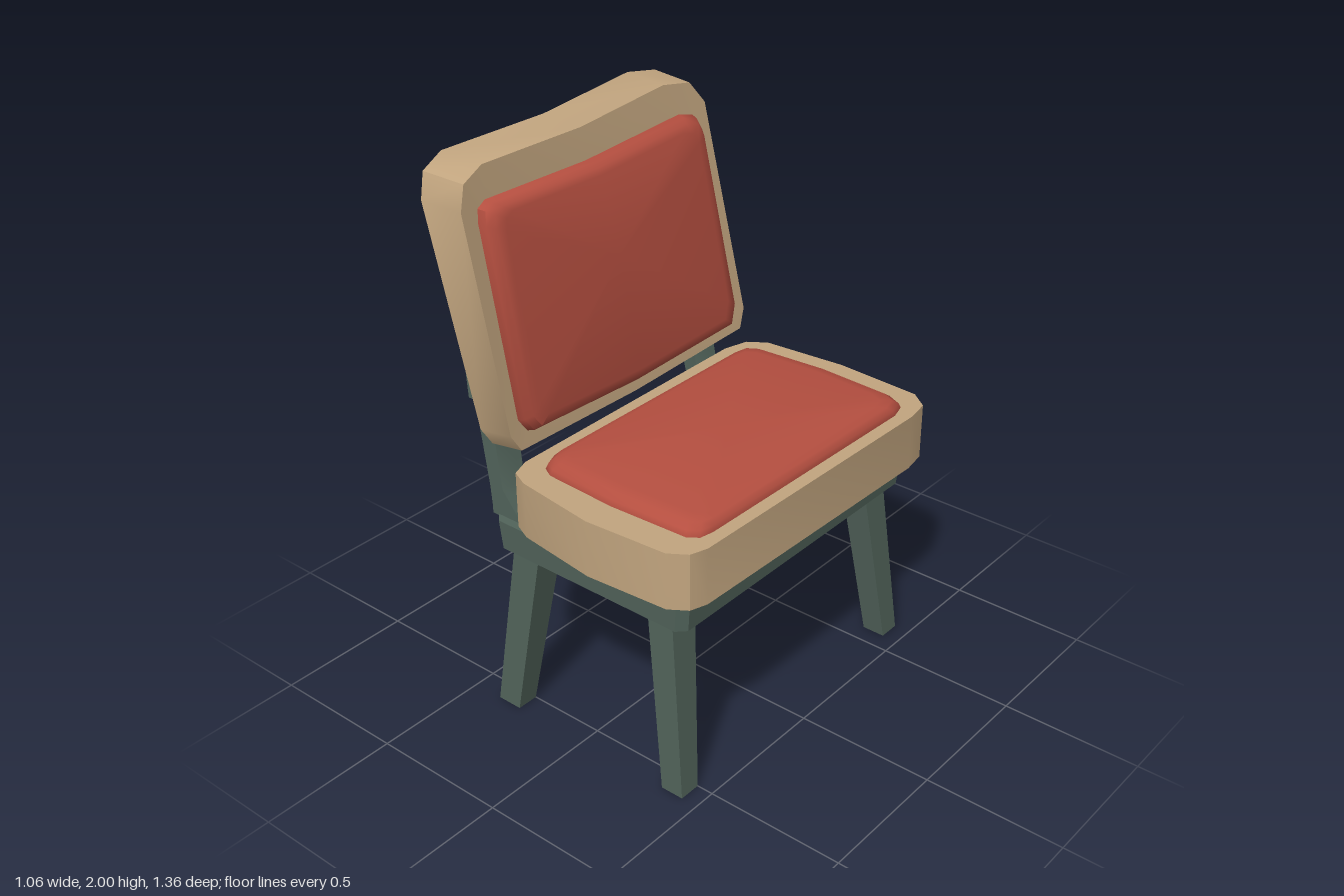
import * as THREE from 'three';
import { toCreasedNormals } from 'three/addons/utils/BufferGeometryUtils.js';

const V = (x, y, z) => new THREE.Vector3(x, y, z);

// Joins cross-sections of equal point count; either capped at both ends or closed into a ring.
function loft(sections, { ring = false, crease = 0.6 } = {}) {
  const tris = [];
  const n = sections[0].length;
  const count = ring ? sections.length : sections.length - 1;
  for (let s = 0; s < count; s++) {
    const a = sections[s], b = sections[(s + 1) % sections.length];
    for (let i = 0; i < n; i++) {
      const j = (i + 1) % n;
      tris.push([a[i], a[j], b[j]], [a[i], b[j], b[i]]);
    }
  }
  if (!ring) {
    const first = sections[0], last = sections[sections.length - 1];
    const c0 = centre(first), c1 = centre(last);
    for (let i = 0; i < n; i++) {
      const j = (i + 1) % n;
      tris.push([c0, first[j], first[i]], [c1, last[i], last[j]]);
    }
  }
  // Turn the faces outward if the outline ran the other way
  const volume = tris.reduce((v, [a, b, c]) => v + a.dot(b.clone().cross(c)), 0);
  const points = tris.flatMap(([a, b, c]) => (volume < 0 ? [a, c, b] : [a, b, c]));
  const geometry = new THREE.BufferGeometry().setFromPoints(points);
  return toCreasedNormals(geometry, crease);
}

function centre(points) {
  return points.reduce((sum, p) => sum.add(p), V(0, 0, 0)).divideScalar(points.length);
}

// Scales a 2D outline about its middle
function scaled(outline, k) {
  const mx = outline.reduce((s, p) => s + p[0], 0) / outline.length;
  const my = outline.reduce((s, p) => s + p[1], 0) / outline.length;
  return outline.map(([x, y]) => [mx + (x - mx) * k, my + (y - my) * k]);
}

// Level rectangle: x range, z range, height
const rect = (x0, x1, z0, z1, y) => [V(x0, y, z0), V(x1, y, z0), V(x1, y, z1), V(x0, y, z1)];

// Level rectangle with clipped corners
function clipped(x0, x1, z, y, c) {
  return [
    V(x0 + c, y, -z), V(x1 - c, y, -z), V(x1, y, -z + c), V(x1, y, z - c),
    V(x1 - c, y, z), V(x0 + c, y, z), V(x0, y, z - c), V(x0, y, -z + c),
  ];
}

// Seat outlines as (x, z)
const seatOuter = [
  [-0.18, -0.655], [0.13, -0.68], [0.45, -0.66], [0.515, -0.61], [0.53, -0.52], [0.51, 0.54],
  [0.49, 0.6], [0.43, 0.64], [0.13, 0.66], [-0.17, 0.62], [-0.235, 0.59], [-0.26, 0.52],
  [-0.27, -0.52], [-0.245, -0.61],
];
const seatInner = [
  [-0.15, -0.57], [0.13, -0.59], [0.41, -0.575], [0.465, -0.55], [0.482, -0.49], [0.465, 0.46],
  [0.455, 0.51], [0.42, 0.535], [0.13, 0.547], [-0.14, 0.532], [-0.18, 0.51], [-0.2, 0.46],
  [-0.2, -0.49], [-0.19, -0.545],
];
// Backrest outlines as (z, y)
const backOuter = [
  [0.68, 1.86], [0.65, 1.94], [0.56, 1.975], [0.1, 1.963], [-0.3, 2.0], [-0.425, 1.98],
  [-0.488, 1.9], [-0.578, 1.12], [-0.55, 1.05], [0.0, 1.012], [0.58, 1.035], [0.62, 1.1],
];
const backInner = [
  [0.602, 1.8], [0.595, 1.845], [0.56, 1.862], [0.1, 1.847], [-0.35, 1.88], [-0.41, 1.865],
  [-0.432, 1.82], [-0.5, 1.17], [-0.475, 1.1], [0.02, 1.07], [0.53, 1.1], [0.565, 1.15],
];

// Leaning, gently bowed front and back surfaces of the backrest
const bow = (z) => 0.03 * (1 - ((z - 0.06) / 0.62) ** 2);
const backFront = (y, z) => -0.22 - 0.135 * (y - 1.1) - bow(z);
const backRear = (y, z) => -0.338 - 0.175 * (y - 1.06) - bow(z);

export function createModel() {
  const model = new THREE.Group();
  const material = (name, color) => {
    const m = new THREE.MeshStandardMaterial({ color });
    m.name = name;
    return m;
  };
  const wood = material('tan wood', 0xc2a57f);
  const fabric = material('red fabric', 0xb54f40);
  const paint = material('dark green paint', 0x52645b);
  const add = (name, geometry, mat) => {
    const mesh = new THREE.Mesh(geometry, mat);
    mesh.name = name;
    model.add(mesh);
  };

  // Seat frame and padded cushion
  const level = (outline, y, k = 1) => scaled(outline, k).map(([x, z]) => V(x, y, z));
  add('seatFrame', loft([
    level(seatOuter, 0.77), level(seatOuter, 0.97),
    level(seatInner, 0.97, 0.985), level(seatInner, 0.77, 0.985),
  ], { ring: true }), wood);
  add('seatCushion', loft([
    level(seatInner, 0.81), level(seatInner, 0.97), level(seatInner, 0.988, 0.985),
    level(seatInner, 1.004, 0.945), level(seatInner, 1.012, 0.87),
  ], { crease: 0.9 }), fabric);

  // Backrest frame and padded cushion
  const upright = (outline, surface, offset = 0, k = 1) =>
    scaled(outline, k).map(([z, y]) => V(surface(y, z) + offset, y, z));
  add('backFrame', loft([
    upright(backOuter, backRear), upright(backOuter, backFront, 0, 0.978),
    upright(backInner, backFront, 0, 0.985), upright(backInner, backRear, 0, 0.985),
  ], { ring: true }), wood);
  add('backCushion', loft([
    upright(backInner, backRear, -0.004, 0.99), upright(backInner, backFront),
    upright(backInner, backFront, 0.025, 0.985), upright(backInner, backFront, 0.048, 0.95),
    upright(backInner, backFront, 0.056, 0.88),
  ], { crease: 0.9 }), fabric);

  // Open apron under the seat
  add('apron', loft([
    clipped(-0.335, 0.455, 0.595, 0.66, 0.03), clipped(-0.345, 0.465, 0.6, 0.765, 0.03),
    clipped(-0.265, 0.385, 0.52, 0.765, 0.01), clipped(-0.255, 0.375, 0.515, 0.66, 0.01),
  ], { ring: true }), paint);

  // Splayed legs: foot x range, top x range, foot z range, top z range
  const legX = { back: [-0.385, -0.29, -0.28, -0.17], front: [0.355, 0.44, 0.295, 0.395] };
  const legZ = { Left: [0.5, 0.58, 0.46, 0.57], Right: [-0.65, -0.57, -0.57, -0.46] };
  for (const [end, [a, b, c, d]] of Object.entries(legX)) {
    for (const [side, [e, f, g, h]] of Object.entries(legZ)) {
      add(`${end}Leg${side}`, loft([rect(a, b, e, f, 0), rect(c, d, g, h, 0.665)]), paint);
    }
  }

  // Posts carrying the backrest: outer and inner z at foot, joint and top
  const posts = {
    Left: [[0.47, 0.57], [0.46, 0.57], [0.41, 0.545]],
    Right: [[-0.54, -0.43], [-0.51, -0.4], [-0.42, -0.29]],
  };
  for (const [side, [foot, joint, top]] of Object.entries(posts)) {
    add(`lowerPost${side}`, loft([
      rect(-0.37, -0.24, ...foot, 0.76), rect(-0.37, -0.255, ...foot, 0.785),
      rect(-0.377, -0.32, ...foot, 0.865), rect(-0.425, -0.36, ...joint, 1.18),
    ]), paint);
    add(`upperPost${side}`, loft([
      rect(-0.45, -0.365, ...joint, 1.16), rect(-0.53, -0.455, ...top, 1.81),
    ]), paint);
  }

  // Thin wooden strip on the outer face of one post
  add('postStrip', loft([
    rect(-0.448, -0.365, -0.517, -0.509, 1.162), rect(-0.528, -0.455, -0.427, -0.419, 1.808),
  ]), wood);

  return model;
}
